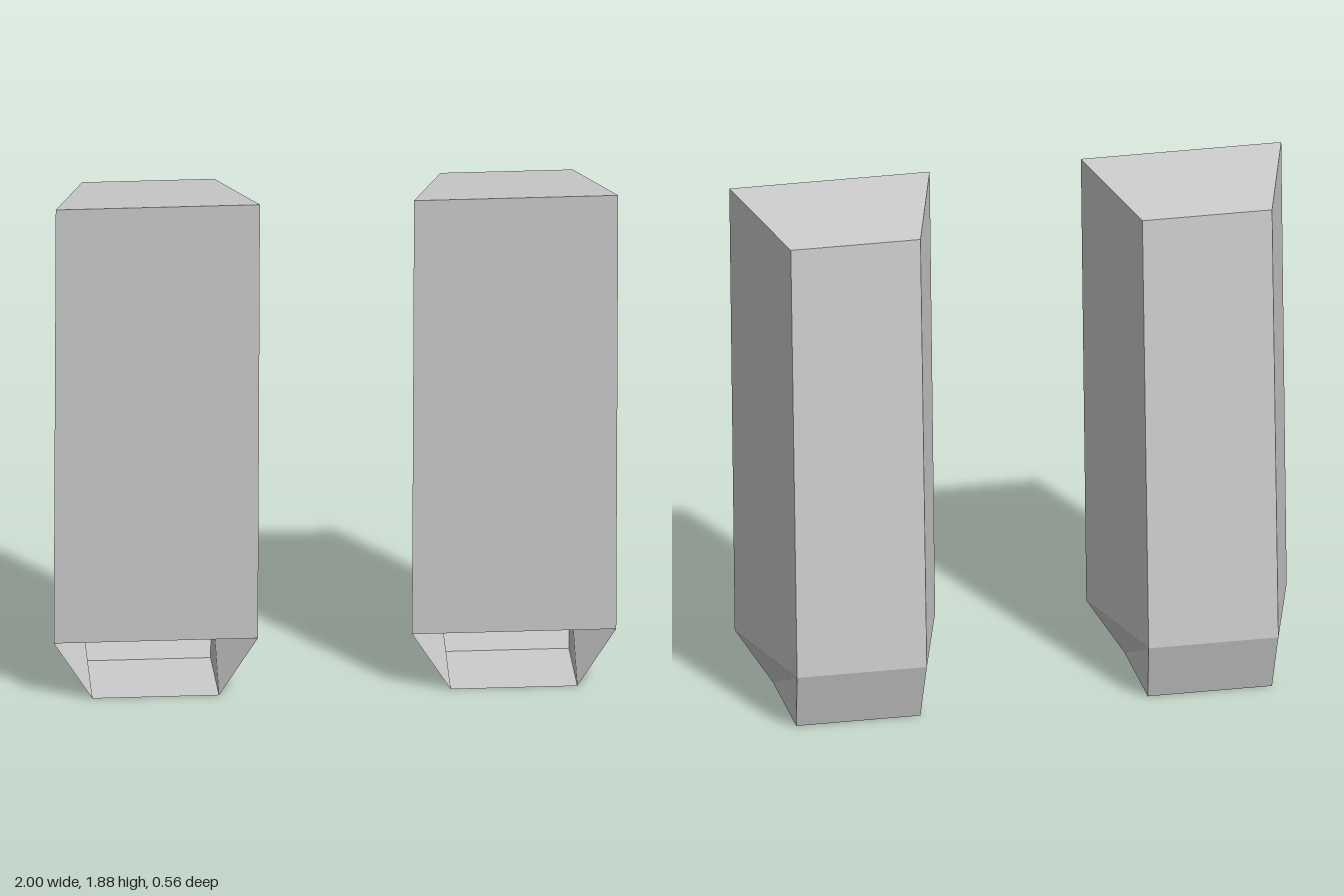
import * as THREE from 'three';

// Corners of a trapezoid section: front and back each given as [halfWidth, y, z]
function section([fw, fy, fz], [bw, by, bz]) {
  return { FL: [fw, fy, fz], FR: [-fw, fy, fz], BL: [bw, by, bz], BR: [-bw, by, bz] };
}

const foot = section([0.225, 0, 0.18], [0.225, 0, -0.215]);
const knee = section([0.363, 0.213, 0.185], [0.235, 0.213, -0.278]);
const top = section([0.363, 1.88, 0.278], [0.235, 1.82, -0.17]);

// Sides and back between two sections
function walls(lo, hi) {
  return [
    [lo.FL, lo.BL, hi.BL, hi.FL],
    [lo.FR, hi.FR, hi.BR, lo.BR],
    [lo.BL, lo.BR, hi.BR, hi.BL],
  ];
}

function panelMesh(name, quads, material) {
  const points = quads.flatMap(([a, b, c, d]) => [a, b, c, a, c, d]).flat();
  const geometry = new THREE.BufferGeometry();
  geometry.setAttribute('position', new THREE.Float32BufferAttribute(points, 3));
  geometry.computeVertexNormals();
  const mesh = new THREE.Mesh(geometry, material);
  mesh.name = name;
  return mesh;
}

export function createModel() {
  const model = new THREE.Group();
  model.name = 'pairOfPillars';
  const material = new THREE.MeshStandardMaterial({
    color: 0xcccccc, flatShading: true, side: THREE.DoubleSide,
  });

  for (const [side, x] of [['left', 0.637], ['right', -0.637]]) {
    const pillar = new THREE.Group();
    pillar.name = side + 'Pillar';
    pillar.position.x = x;

    // Leaning shaft with front panel and sloping top
    pillar.add(panelMesh('shaft', [
      ...walls(knee, top),
      [knee.FR, knee.FL, top.FL, top.FR],
      [top.FL, top.BL, top.BR, top.FR],
    ], material));

    // Tapered base, open at the front
    pillar.add(panelMesh('openBase', [
      ...walls(foot, knee),
      [foot.FL, foot.FR, foot.BR, foot.BL],
    ], material));

    model.add(pillar);
  }
  return model;
}
